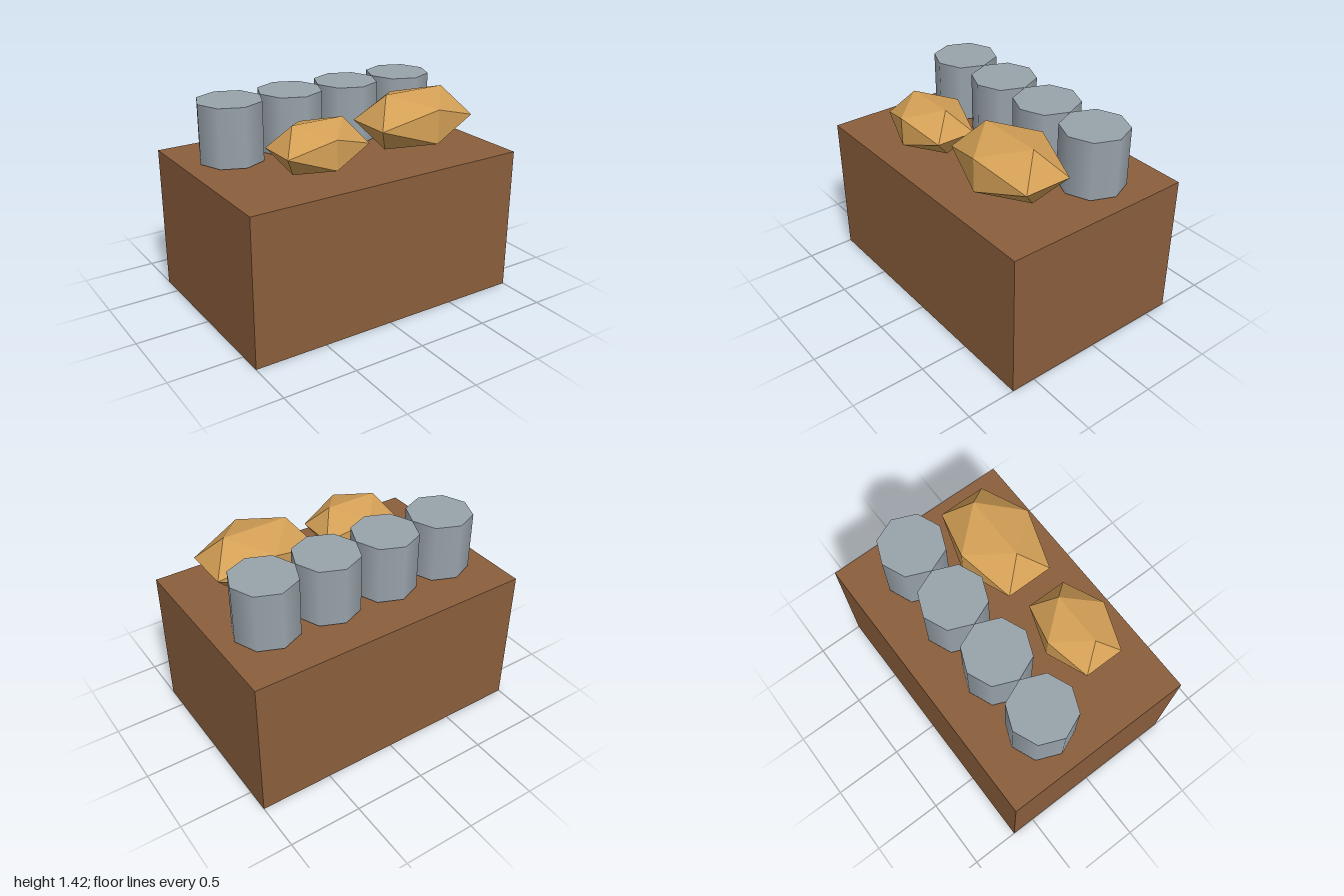
import * as THREE from 'three';

export function createModel() {
  const group = new THREE.Group();
  const mat = (name, color, flatShading = false) => {
    const m = new THREE.MeshStandardMaterial({ color, flatShading });
    m.name = name;
    return m;
  };
  const wood = mat('brown wood', 0x8b5e3c);
  const metal = mat('grey metal', 0x99a3ab);
  const crust = mat('golden crust', 0xd4a056, true);

  const add = (name, geometry, material, x, y, z) => {
    const mesh = new THREE.Mesh(geometry, material);
    mesh.name = name;
    mesh.position.set(x, y, z);
    group.add(mesh);
    return mesh;
  };

  // Solid counter block
  add('counter', new THREE.BoxGeometry(2, 1, 1.333), wood, 0, 0.5, 0);

  // Row of four eight-sided cans along the back
  const can = new THREE.CylinderGeometry(0.222, 0.222, 0.4, 8);
  for (let i = 0; i < 4; i++) {
    add(`can${i + 1}`, can, metal, (i - 1.5) * 0.4444, 1.212, -0.222);
  }

  // Two squashed, faceted loaves at the front
  const loaf = new THREE.IcosahedronGeometry(1, 0);
  add('smallLoaf', loaf, crust, -0.333, 1.192, 0.311).scale.set(0.345, 0.187, 0.264);
  add('largeLoaf', loaf, crust, 0.443, 1.234, 0.266).scale.set(0.432, 0.218, 0.312);

  return group;
}
